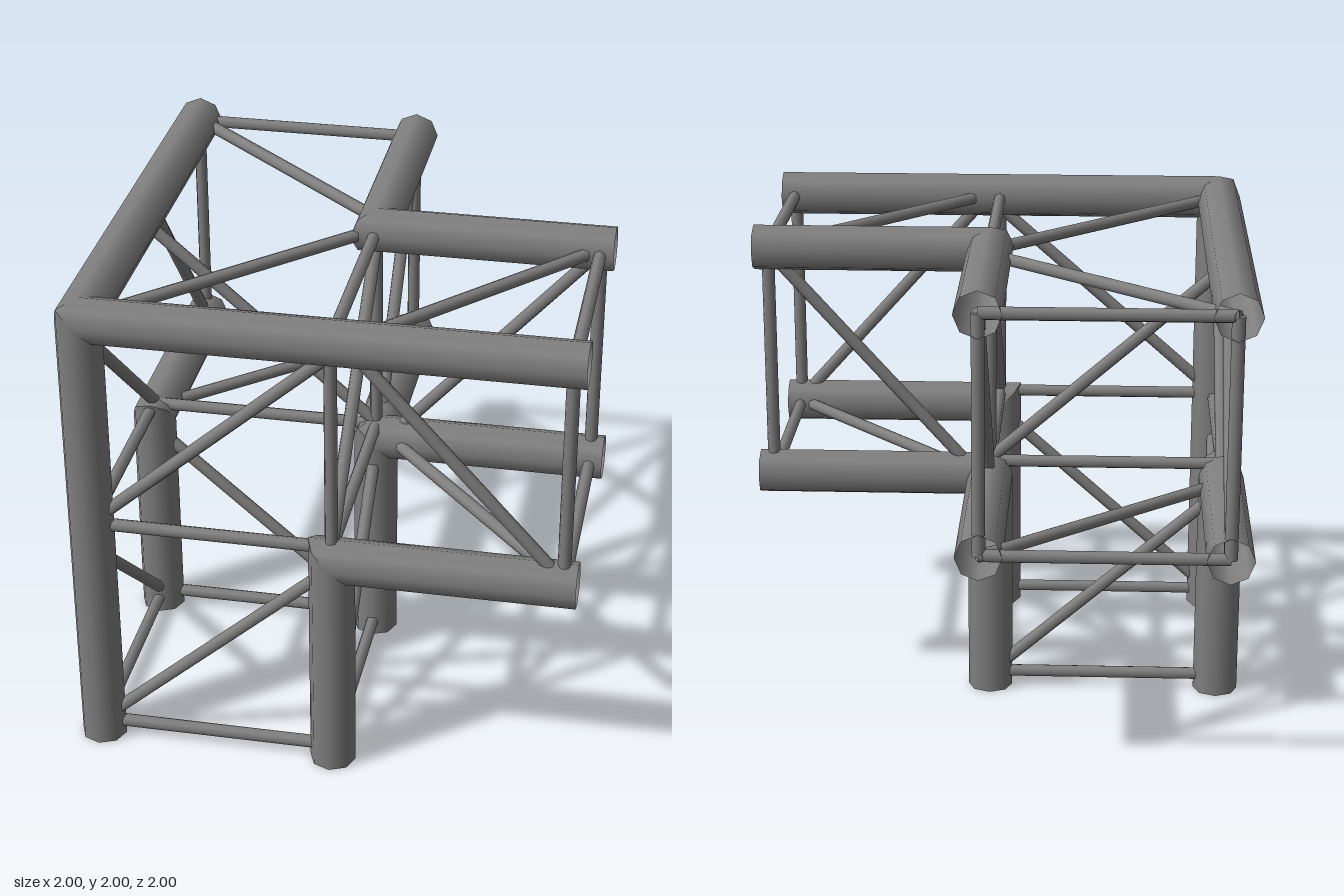
import * as THREE from 'three';

const CORNER = [-0.9075, 1.9075, 0.9075]; // axis of the outer three-way corner
const DIR = [1, -1, -1];                  // the arms run to +x, down and to -z
const END = [1, 0, -1];                   // where each arm stops
const S = 0.955;                          // spacing of the chord axes
const R = 0.0925, r = 0.026;              // chord and brace radii
const UP = new THREE.Vector3(0, 1, 0);

const [X0, Y0, Z0] = CORNER;
const X1 = X0 + S, Y1 = Y0 - S, Z1 = Z0 - S;

const steel = new THREE.MeshStandardMaterial({ color: 0x808080 });
const tubeSteel = new THREE.MeshStandardMaterial({ color: 0x808080, side: THREE.DoubleSide });

// Cylinder between two points
function rod(a, b, radius, open) {
  const from = new THREE.Vector3(...a), to = new THREE.Vector3(...b);
  const dir = to.clone().sub(from);
  const geo = new THREE.CylinderGeometry(radius, radius, dir.length(), 8, 1, open);
  geo.applyQuaternion(new THREE.Quaternion().setFromUnitVectors(UP, dir.normalize()));
  const mid = from.add(to).multiplyScalar(0.5);
  return geo.translate(mid.x, mid.y, mid.z);
}

// Offset along an axis at which a chord starts, from its two other offsets
const startOf = (axis, o) => (o.some((v, i) => i !== axis && v > 0) ? S : 0);

// Open main tube, mitred against the other tubes of its joint
function chord(axis, offsets) {
  const o = [...offsets];
  o[axis] = startOf(axis, o);
  const joint = CORNER.map((c, i) => c + DIR[i] * o[i]);
  const end = [...joint];
  end[axis] = END[axis];
  const partners = [0, 1, 2].filter((j) => j !== axis && startOf(j, o) === o[j]);
  const geo = rod(joint, end, R, true);
  const pos = geo.attributes.position;
  for (let i = 0; i < pos.count; i++) {
    const t = [0, 1, 2].map((k) => (pos.getComponent(i, k) - joint[k]) * DIR[k]);
    if (t[axis] > 0.4) continue;
    const cut = Math.max(...partners.map((j) => t[j]));
    pos.setComponent(i, axis, joint[axis] + DIR[axis] * cut);
  }
  return new THREE.Mesh(geo, tubeSteel);
}

export function createModel() {
  const model = new THREE.Group();
  model.name = 'trussCorner';
  const group = (name) => {
    const g = new THREE.Group();
    g.name = name;
    model.add(g);
    return g;
  };

  // Four chords per arm
  ['sideArmChords', 'legChords', 'backArmChords'].forEach((name, axis) => {
    const g = group(name);
    for (const a of [0, S]) for (const b of [0, S]) {
      const o = [0, 0, 0];
      o[(axis + 1) % 3] = a;
      o[(axis + 2) % 3] = b;
      const m = chord(axis, o);
      m.name = 'chord';
      g.add(m);
    }
  });

  const braces = (name, list) => {
    const g = group(name);
    for (const [a, b] of list) {
      const m = new THREE.Mesh(rod(a, b, r, false), steel);
      m.name = 'brace';
      g.add(m);
    }
  };
  // Closed loop of four struts
  const loop = (p) => p.map((a, i) => [a, p[(i + 1) % 4]]);
  const frameX = (x) => loop([[x, Y0, Z0], [x, Y0, Z1], [x, Y1, Z1], [x, Y1, Z0]]);
  const frameY = (y) => loop([[X0, y, Z0], [X1, y, Z0], [X1, y, Z1], [X0, y, Z1]]);
  const frameZ = (z) => loop([[X0, Y0, z], [X1, Y0, z], [X1, Y1, z], [X0, Y1, z]]);

  // Square frames at the open ends and around the central bay
  braces('sideArmEndFrame', frameX(0.945));
  braces('legEndFrame', frameY(0.062));
  braces('backArmEndFrame', frameZ(-0.973));
  braces('bayFrame', [
    ...frameY(1.01),
    [[X1, Y0, Z0], [X1, Y1, Z0]],
    [[X1, Y0, Z0], [X1, Y0, Z1]],
    [[X1, Y0, Z1], [X1, Y1, Z1]],
  ]);

  // Diagonals of the central bay
  braces('bayDiagonals', [
    [[X0, 1.015, Z0], [0.09, 1.89, Z0]],
    [[X0, 1.855, Z1], [X1, 1.02, Z1]],
    [[X0, 1.855, Z0], [X0, 1.02, Z1]],
    [[X1, 1.015, Z0], [X1, 1.87, Z1]],
    [[X0, Y0, Z0], [X1, Y0, Z1]],
  ]);

  // Diagonals of the arms, opposite faces leaning opposite ways
  braces('sideArmDiagonals', [
    [[0.1, Y0, Z0], [0.955, Y1, Z0]],
    [[0.1, Y1, Z1], [0.955, Y0, Z1]],
    [[0.1, Y0, Z0], [0.955, Y0, Z1]],
    [[0.1, Y1, Z1], [0.955, Y1, Z0]],
  ]);
  braces('backArmDiagonals', [
    [[X0, Y0, -0.125], [X0, Y1, -0.97]],
    [[X1, Y1, -0.125], [X1, Y0, -0.97]],
    [[X0, Y0, -0.98], [X1, Y0, -0.13]],
    [[X0, Y1, -0.13], [X1, Y1, -0.98]],
  ]);
  braces('legDiagonals', [
    [[X0, 0.065, Z0], [0.02, 0.89, Z0]],
    [[X0, 0.89, Z1], [X1, 0.055, Z1]],
    [[X0, 0.89, Z0], [X0, 0.055, Z1]],
    [[X1, 0.065, Z0], [X1, 0.91, Z1]],
  ]);

  return model;
}
